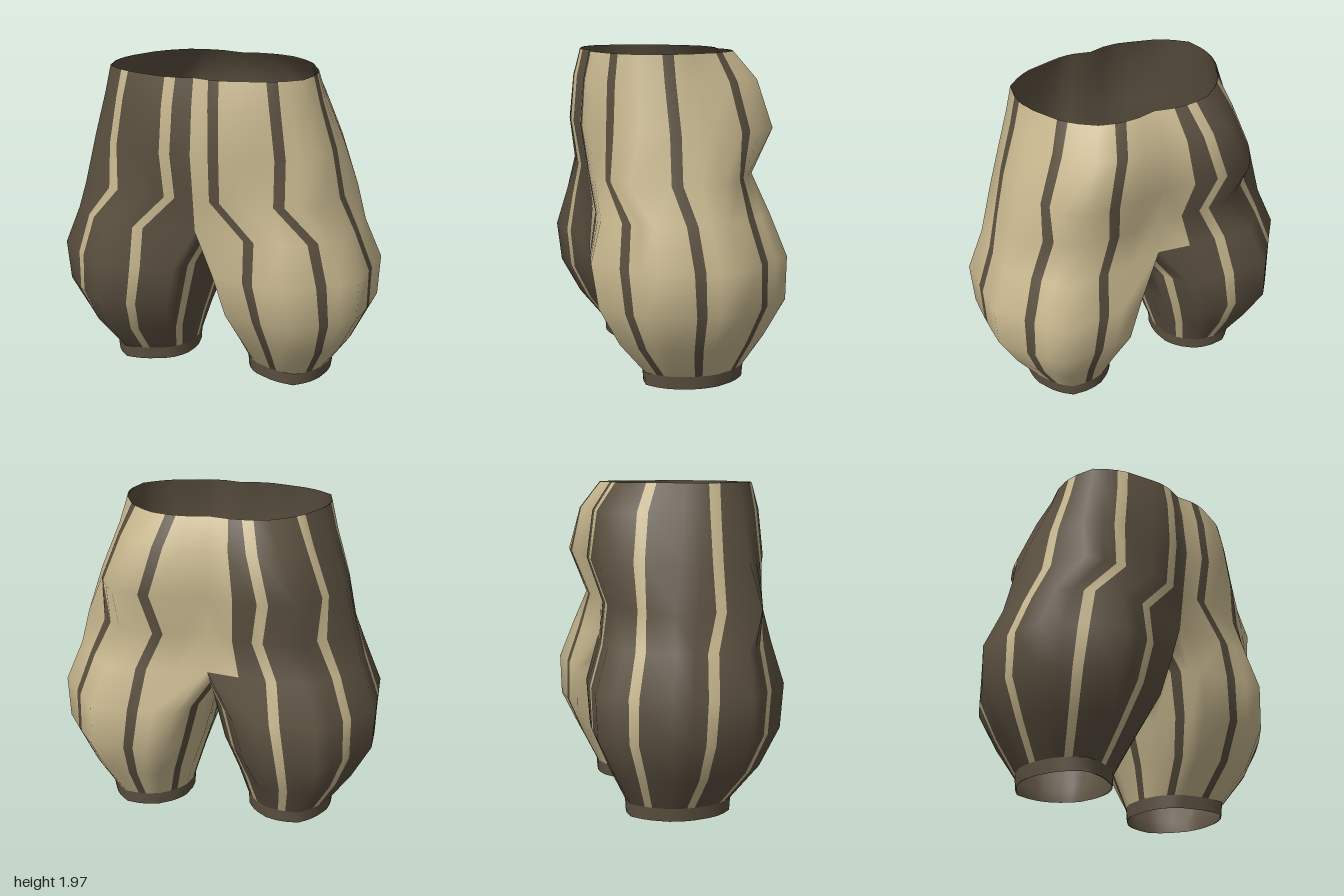
import * as THREE from 'three';
import { mergeVertices } from 'three/addons/utils/BufferGeometryUtils.js';

const lerp = THREE.MathUtils.lerp;

// Leg section: one eight-cornered outline fitted to a range of x and z.
// Corners run front -> outside -> back -> inside.
function legRow(y, x0, x1, z0, z1) {
  const slim = 1 - (x1 - x0);
  const outline = [
    [0.13 + 0.12 * slim, 0.86 - 0.2 * slim], [0.6 + 0.25 * slim, 1], [0.975, 0.47], [1, -0.34],
    [0.7, -1], [0.18 + 0.2 * slim, -0.94], [0, -0.44], [0, 0.35],
  ];
  return {
    y, bulge: 0.15 * slim, width: lerp(0.045, 0.066, y / 0.77), front: 0.5, back: 0.5,
    p: outline.map(([u, v]) => [lerp(x0, x1, u), lerp(z0, z1, (v + 1) / 2)]),
  };
}

// Hip section: half outline from centre front around the outside to centre back
function hipRow(y, front, back, corners) {
  return {
    y, bulge: lerp(0.02, 0.09, (y - 1.02) / 0.945), width: 0.066, front: 0.48, back: 0.35,
    p: [[0, front], ...corners, [0, back]],
  };
}

const LEG = [
  legRow(0, 0.215, 0.715, -0.355, 0.25),
  legRow(0.08, 0.21, 0.725, -0.36, 0.255),
  legRow(0.28, 0.15, 0.865, -0.465, 0.42),
  legRow(0.51, 0.067, 0.985, -0.575, 0.545),
  legRow(0.77, 0, 1, -0.585, 0.58),
];
const HIPS = [
  hipRow(1.02, 0.45, -0.44, [[0.56, 0.51], [0.87, 0.27], [0.9, -0.16], [0.62, -0.5]]),
  hipRow(1.24, 0.48, -0.42, [[0.3, 0.5], [0.75, 0.39], [0.845, -0.15], [0.47, -0.435]]),
  hipRow(1.52, 0.52, -0.5, [[0.32, 0.53], [0.71, 0.32], [0.765, -0.09], [0.55, -0.535]]),
  hipRow(1.8, 0.49, -0.46, [[0.3, 0.505], [0.64, 0.3], [0.655, -0.05], [0.43, -0.475]]),
  hipRow(1.965, 0.455, -0.355, [[0.28, 0.46], [0.605, 0.29], [0.605, -0.03], [0.35, -0.35]]),
];
const ROWS = [...LEG, ...HIPS];
const CROTCH = LEG.length;

// The crotch row closes on the inner corners of the leg below, forming a saddle
for (const k of [6, 7]) ROWS[CROTCH].p.push([...ROWS[CROTCH - 1].p[k], ROWS[CROTCH - 1].y]);
ROWS[CROTCH].front = 0.64;

// Points along one facet: corner, two stripe edges, panel seam, corner
function facetPoints(row, k, side) {
  const a = row.p[k], b = row.p[(k + 1) % row.p.length];
  const ya = a[2] ?? row.y, yb = b[2] ?? row.y;
  const dx = b[0] - a[0], dz = b[1] - a[1];
  const half = Math.min(0.2, row.width / 2 / Math.hypot(dx, dz, yb - ya));
  const mid = k === 0 ? row.front : k === 4 ? row.back : 0.5;
  const bulge = k < 5 || row.y < 1 ? row.bulge : 0;
  return [0, mid - half, mid + half, (mid + 1) / 2, 1].map((t) => {
    const out = bulge * 4 * t * (1 - t);
    return new THREE.Vector3(side * (a[0] + dx * t - dz * out), lerp(ya, yb, t), a[1] + dz * t + dx * out);
  });
}

// Skin between two rows; groups are cloth, stripes and the centre back panel.
// A lining (inset above 0) faces inwards.
function shell(from, to, side, inset) {
  const buckets = [[], [], []];
  const flip = (side < 0) !== (inset > 0);
  const triangle = (list, a, b, c) => {
    const area = b.clone().sub(a).cross(c.clone().sub(a)).length();
    if (area < 1e-7) return;
    for (const v of flip ? [a, c, b] : [a, b, c]) list.push(v.x, v.y, v.z);
  };
  for (let r = from; r < to; r++) {
    // hips are open half loops; the saddle has no middle inner facet
    for (let k = 0; k < (r >= CROTCH ? 5 : 8); k++) {
      if (r === CROTCH - 1 && k === 6) continue;
      const low = facetPoints(ROWS[r], k, side), high = facetPoints(ROWS[r + 1], k, side);
      for (let i = 0; i < 4; i++) {
        const backPanel = r >= CROTCH && k === 4 && i === 3;
        const list = buckets[backPanel ? 2 : i === 1 ? 1 : 0];
        triangle(list, low[i], low[i + 1], high[i + 1]);
        triangle(list, low[i], high[i + 1], high[i]);
      }
    }
  }
  const soup = new THREE.BufferGeometry();
  soup.setAttribute('position', new THREE.Float32BufferAttribute(buckets.flat(), 3));
  const geometry = mergeVertices(soup, 1e-4);
  let start = 0;
  buckets.forEach((list, i) => {
    geometry.addGroup(start, list.length / 3, i);
    start += list.length / 3;
  });
  geometry.computeVertexNormals();
  // keep shading smooth across the centre seam, and set the lining inside the cloth
  const pos = geometry.attributes.position, normal = geometry.attributes.normal;
  const n = new THREE.Vector3(), v = new THREE.Vector3();
  for (let i = 0; i < pos.count; i++) {
    n.fromBufferAttribute(normal, i);
    v.fromBufferAttribute(pos, i);
    if (Math.abs(v.x) < 1e-4) n.setX(0).normalize();
    v.addScaledVector(n, inset);
    normal.setXYZ(i, n.x, n.y, n.z);
    pos.setXYZ(i, v.x, v.y, v.z);
  }
  return geometry;
}

export function createModel() {
  const tan = new THREE.MeshStandardMaterial({ color: 0xc8b88f, side: THREE.DoubleSide });
  const brown = new THREE.MeshStandardMaterial({ color: 0x5b5040, side: THREE.DoubleSide });
  tan.name = 'tan cloth';
  brown.name = 'dark brown cloth';

  const model = new THREE.Group();
  model.name = 'puffyBreeches';
  const top = ROWS.length - 1;
  for (const [name, side, cloth, stripe] of [['left', 1, tan, brown], ['right', -1, brown, tan]]) {
    const half = new THREE.Group();
    half.name = name + 'Half';
    const add = (part, geometry, materials) => {
      const mesh = new THREE.Mesh(geometry, materials);
      mesh.name = name + part;
      half.add(mesh);
    };
    // the tan centre back panel reaches across onto the right half
    add('StripedLeg', shell(1, top, side, 0), [cloth, stripe, tan]);
    add('Cuff', shell(0, 1, side, 0), [brown, brown, brown]);
    add('Lining', shell(0, top, side, 0.005), [brown, brown, brown]);
    model.add(half);
  }
  return model;
}
